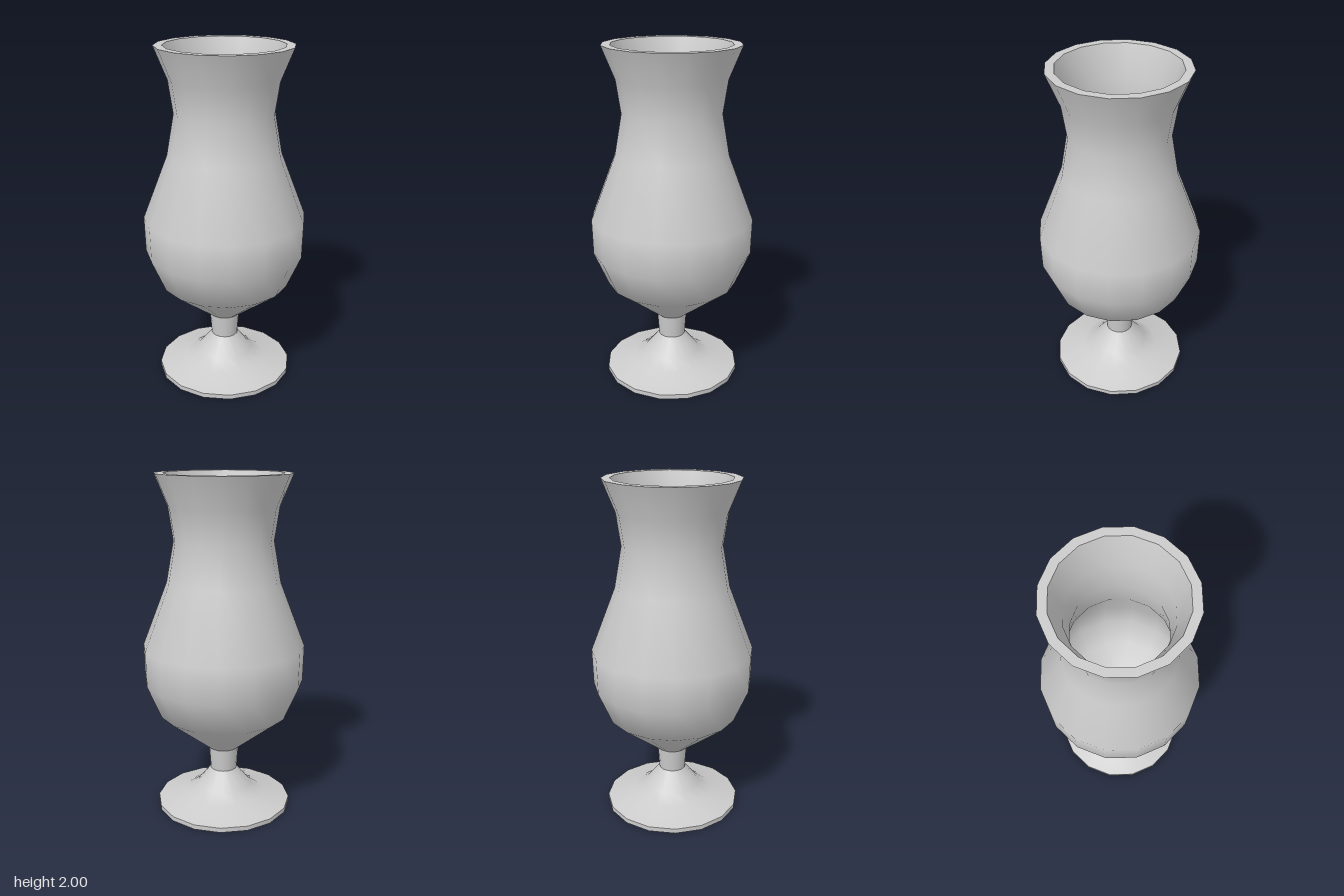
import * as THREE from 'three';

const SIDES = 16;

// Surface of revolution; profile is [radius, height], running upward for an outward face
function addLathe(group, name, profile, material) {
  const points = profile.map(([r, y]) => new THREE.Vector2(r, y));
  const mesh = new THREE.Mesh(new THREE.LatheGeometry(points, SIDES), material);
  mesh.name = name;
  group.add(mesh);
}

export function createModel() {
  const group = new THREE.Group();
  group.name = 'stemmedGlass';
  const material = new THREE.MeshStandardMaterial({ color: 0xcccccc });

  // Foot: flat underside, thin edge, then a flared top; separate pieces keep creases sharp
  addLathe(group, 'footUnderside', [[0, 0], [0.405, 0]], material);
  addLathe(group, 'footEdge', [[0.405, 0], [0.405, 0.028]], material);
  addLathe(group, 'footTop', [[0.405, 0.028], [0.24, 0.072], [0.165, 0.122], [0.08, 0.228]], material);

  // Short stem
  addLathe(group, 'stem', [[0.08, 0.228], [0.09, 0.366]], material);

  // Bowl: outer wall, flat rim and inner wall
  addLathe(group, 'bowlOuter', [
    [0.09, 0.366], [0.385, 0.6], [0.47, 0.8], [0.475, 1.01],
    [0.33, 1.385], [0.287, 1.625], [0.315, 1.815], [0.39, 2],
  ], material);
  addLathe(group, 'rim', [[0.39, 2], [0.34, 2]], material);
  addLathe(group, 'bowlInner', [
    [0.34, 2], [0.28, 1.82], [0.26, 1.625], [0.295, 1.4], [0.432, 1.01],
    [0.428, 0.815], [0.35, 0.63], [0.06, 0.4], [0, 0.395],
  ], material);

  return group;
}
